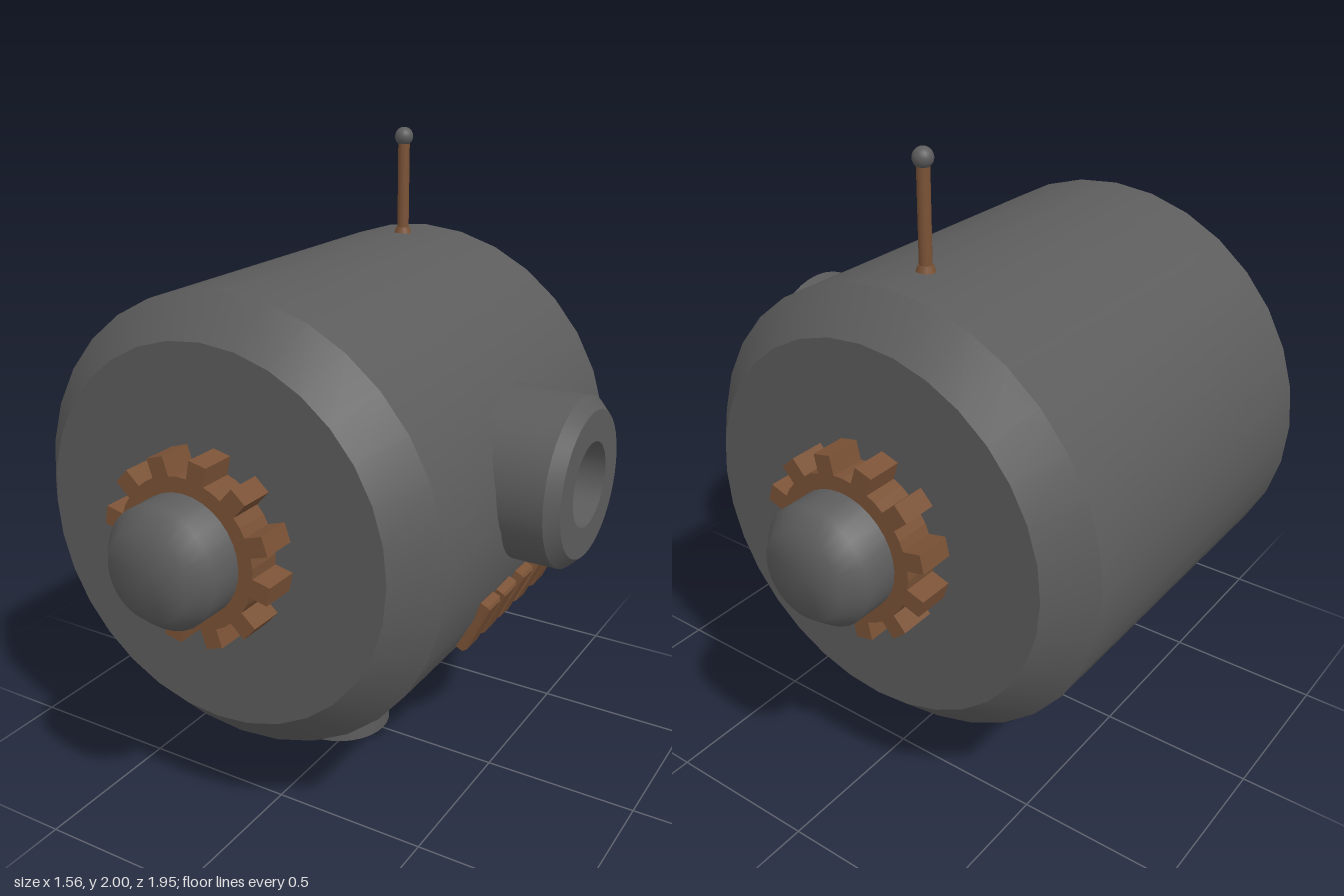
import * as THREE from 'three';
import { toCreasedNormals } from 'three/addons/utils/BufferGeometryUtils.js';

const CX = -0.085, CY = 0.96; // axis of the drum-shaped body

export function createModel() {
  const model = new THREE.Group();
  const metal = new THREE.MeshStandardMaterial({ color: 0x5c5c5c });
  const brown = new THREE.MeshStandardMaterial({ color: 0x7a5236 });
  const pale = new THREE.MeshStandardMaterial({ color: 0xcccccc });

  const add = (name, geometry, material, x, y, z) => {
    const mesh = new THREE.Mesh(geometry, material);
    mesh.name = name;
    mesh.position.set(x, y, z);
    model.add(mesh);
    return mesh;
  };
  // Turned part: [radius, height] profile, edges sharper than the crease angle stay hard
  const turned = (profile, segments, crease = 0.5) => toCreasedNormals(
    new THREE.LatheGeometry(profile.map(([r, h]) => new THREE.Vector2(r, h)), segments), crease);

  // Body: drum along z with chamfered rims
  const body = turned([[0, -0.7], [0.58, -0.7], [0.697, -0.585], [0.697, 0.585], [0.58, 0.7], [0, 0.7]], 32);
  add('body', body.rotateX(Math.PI / 2), metal, CX, CY, 0);

  // Toothed ring
  const teeth = 12, halfTooth = 0.029, root = 0.227, tip = 0.285;
  const outline = [];
  for (let i = 0; i < teeth; i++) {
    const a = THREE.MathUtils.degToRad(18 + i * 30);
    const tooth = [[root, -halfTooth], [tip, -halfTooth], [tip, halfTooth], [root, halfTooth]];
    for (const [r, w] of tooth) {
      outline.push(new THREE.Vector2(r, w).rotateAround(new THREE.Vector2(), a));
    }
    const mid = a + Math.PI / teeth;
    outline.push(new THREE.Vector2(Math.cos(mid) * 0.23, Math.sin(mid) * 0.23));
  }
  const gearShape = new THREE.Shape(outline);
  gearShape.holes.push(new THREE.Path().absarc(0, 0, 0.18, 0, Math.PI * 2, true));
  const gear = new THREE.ExtrudeGeometry(gearShape, { depth: 0.13, bevelEnabled: false, curveSegments: 16 });
  gear.translate(0, 0, -0.065);

  // Gear and rounded hub on both ends
  const hub = turned([[0.183, 0.6], [0.183, 0.915], [0.133, 0.973], [0, 0.973]], 32, 1);
  for (const [side, sign] of [['front', 1], ['back', -1]]) {
    add(side + 'Gear', gear, brown, CX, CY, sign * 0.745);
    add(side + 'Hub', hub.clone().rotateX(sign * Math.PI / 2), metal, CX, CY, 0);
  }

  // Eye: hollow socket with a recessed ball
  const socket = turned([[0.262, 0.3], [0.262, 0.742], [0.225, 0.78], [0.13, 0.78], [0.13, 0.57]], 40);
  add('eyeSocket', socket.rotateZ(-Math.PI / 2), metal, 0, 1.065, 0);
  add('eyeBall', new THREE.SphereGeometry(0.13, 32, 20), pale, 0.59, 1.065, 0);

  // Mouth: five bevelled slats lying on the drum, each slightly askew
  const slatShape = new THREE.Shape();
  slatShape.moveTo(-0.036, -0.082).lineTo(0.036, -0.082).lineTo(0.036, 0.082).lineTo(-0.036, 0.082);
  const slat = new THREE.ExtrudeGeometry(slatShape,
    { depth: 0.024, bevelThickness: 0.008, bevelSize: 0.008, bevelSegments: 1 });
  slat.translate(0, 0, -0.012);
  const slats = [[0.247, -0.01], [0.127, 0.09], [0.01, -0.06], [-0.117, -0.16], [-0.243, 0.08]];
  const slope = THREE.MathUtils.degToRad(25);
  slats.forEach(([z, twist], i) => {
    const mesh = add('mouthSlat' + (i + 1), slat, brown,
      CX + Math.cos(slope) * 0.703, CY - Math.sin(slope) * 0.697, z);
    mesh.rotation.set(0, Math.PI / 2, -slope, 'ZYX');
    mesh.rotateZ(twist);
  });

  // Neck and collar below
  add('neck', new THREE.CylinderGeometry(0.175, 0.175, 0.4, 32), metal, CX, 0.2, 0);
  add('neckCollar', new THREE.CylinderGeometry(0.228, 0.228, 0.17, 32), metal, CX, 0.315, 0);

  // Antenna
  add('antennaBase', new THREE.CylinderGeometry(0.022, 0.03, 0.025, 16), brown, CX, 1.662, -0.42);
  add('antennaRod', new THREE.CylinderGeometry(0.019, 0.019, 0.32, 16), brown, CX, 1.8, -0.42);
  add('antennaBall', new THREE.SphereGeometry(0.03, 20, 14), metal, CX, 1.97, -0.42);

  return model;
}
